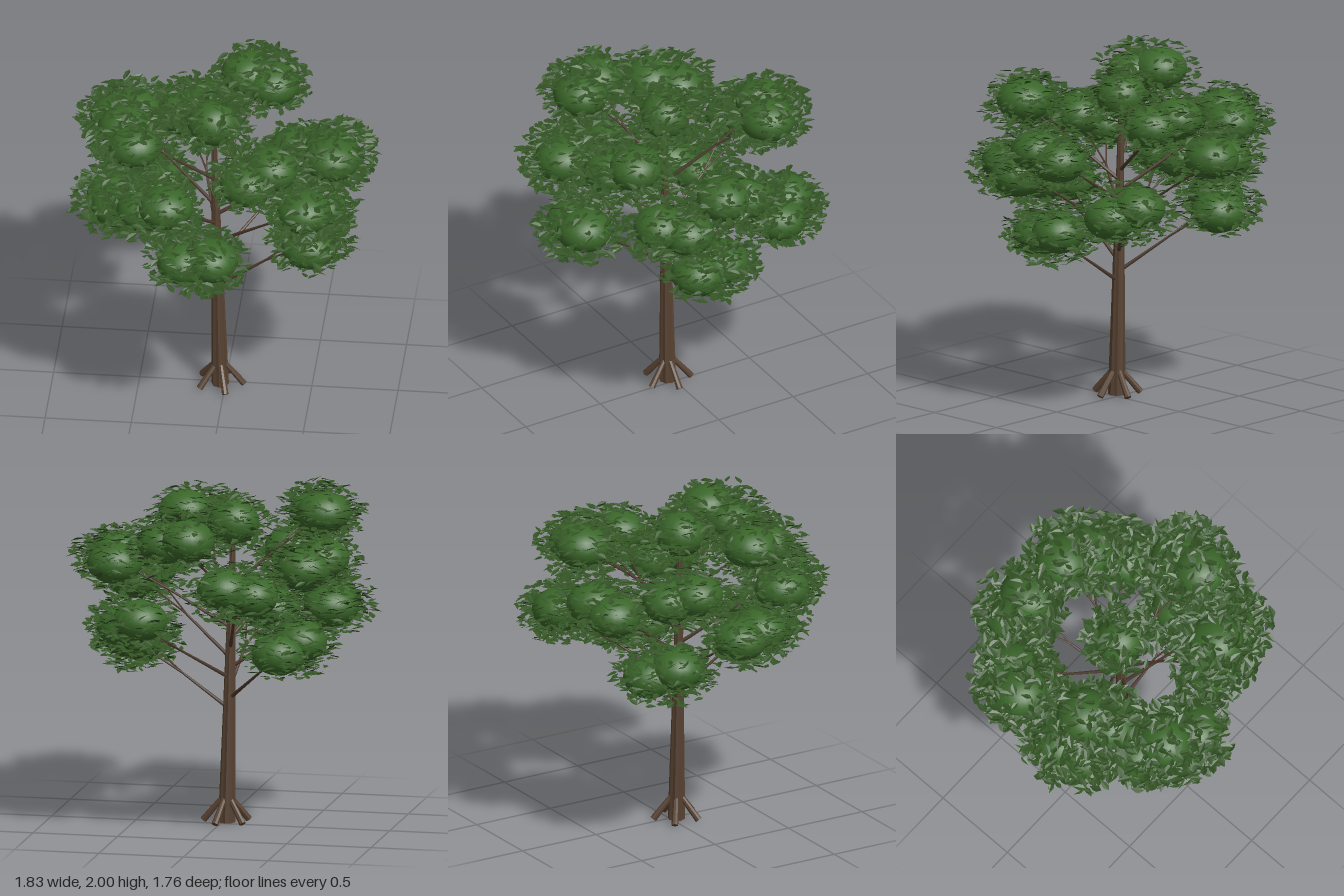
import * as THREE from 'three';
import { mergeGeometries } from 'three/addons/utils/BufferGeometryUtils.js';

const V = (x, y, z) => new THREE.Vector3(x, y, z);
const bark = new THREE.MeshStandardMaterial({ color: 0x574232, flatShading: true });
const twigBark = new THREE.MeshStandardMaterial({ color: 0x4b382c });
const moss = new THREE.MeshStandardMaterial({ color: 0x3a6629 });
const leafGreen = new THREE.MeshStandardMaterial({ color: 0x335424, flatShading: true, side: THREE.DoubleSide });

// Seeded random numbers
let seed = 7;
function rand(a = 0, b = 1) {
  seed = (seed * 16807) % 2147483647;
  return a + (b - a) * seed / 2147483647;
}

function mesh(name, geometry, material) {
  const m = new THREE.Mesh(geometry, material);
  m.name = name;
  return m;
}

// Tapered round limb from a to b
function limb(a, b, ra, rb, sides = 7) {
  const d = b.clone().sub(a);
  const g = new THREE.CylinderGeometry(rb, ra, d.length(), sides);
  g.applyQuaternion(new THREE.Quaternion().setFromUnitVectors(V(0, 1, 0), d.normalize()));
  const c = a.clone().add(b).multiplyScalar(0.5);
  return g.translate(c.x, c.y, c.z);
}

// The trunk leans slightly towards -x
const trunkAt = y => V(-0.03 - 0.021 * y, y, 0.03);

function createTrunk() {
  const g = new THREE.CylinderGeometry(0.013, 0.048, 1.73, 16, 10);
  g.translate(0, 0.875, 0);
  const p = g.attributes.position;
  for (let i = 0; i < p.count; i++) {
    const y = p.getY(i), c = trunkAt(y);
    const flute = 1 + 0.07 * Math.cos(8 * Math.atan2(p.getZ(i), p.getX(i)));
    p.setXYZ(i, c.x + p.getX(i) * flute, y, c.z + p.getZ(i) * flute);
  }
  g.computeVertexNormals();
  return mesh('trunk', g, bark);
}

function createRoots() {
  const roots = new THREE.Group();
  roots.name = 'roots';
  for (let i = 0; i < 5; i++) {
    const a = i * Math.PI * 2 / 5, c = Math.cos(a), s = Math.sin(a);
    const g = limb(V(-0.03 + 0.03 * c, 0.15, 0.03 + 0.03 * s),
      V(-0.03 + 0.138 * c, 0.018, 0.03 + 0.138 * s), 0.015, 0.02, 8);
    roots.add(mesh('root', g, bark));
  }
  return roots;
}

// One pointed leaf, slightly folded along its midrib
function leafGeometry() {
  const g = new THREE.BufferGeometry();
  g.setAttribute('position', new THREE.Float32BufferAttribute([
    -0.5, 0, 0, -0.2, 0.05, 0.25, 0.1, 0.04, 0.23, 0.6, -0.04, 0, 0.1, 0.04, -0.23, -0.2, 0.05, -0.25], 3));
  g.setIndex([0, 1, 2, 0, 2, 3, 0, 3, 4, 0, 4, 5]);
  return g;
}

// Mostly level leaves scattered through an ellipsoid shell; local x is radial, z tangential
function createLeaves(count, rx, ry, rz) {
  const leaf = leafGeometry(), parts = [], m = new THREE.Matrix4();
  for (let i = 0; i < count; i++) {
    const h = rand(-1, 1), a = rand(0, Math.PI * 2), w = Math.sqrt(1 - h * h);
    const r = Math.sqrt(rand(0.3, 1)), size = rand(0.05, 0.08);
    const turn = new THREE.Euler(rand(-0.4, 0.4), rand(0, Math.PI * 2), rand(-0.4, 0.4), 'YXZ');
    m.compose(V(rx * r * w * Math.cos(a), ry * r * h, rz * r * w * Math.sin(a)),
      new THREE.Quaternion().setFromEuler(turn), V(size, size, size));
    parts.push(leaf.clone().applyMatrix4(m));
  }
  const g = mergeGeometries(parts);
  g.computeVertexNormals();
  return mesh('leaves', g, leafGreen);
}

// Rounded leafy lobes inside a cloud of leaves
function createClump(center, angle, lobes, leafSize, count) {
  const clump = new THREE.Group();
  clump.name = 'foliageClump';
  for (const [offset, lift, size] of lobes) {
    const lobe = mesh('foliageLobe', new THREE.SphereGeometry(1, 24, 16), moss);
    lobe.scale.set(...size);
    lobe.position.set(0, lift, offset);
    clump.add(lobe);
  }
  clump.add(createLeaves(count, ...leafSize));
  clump.position.copy(center);
  clump.rotation.y = -angle;
  return clump;
}

export function createModel() {
  const tree = new THREE.Group();
  tree.name = 'tree';
  tree.add(createTrunk(), createRoots());

  // Clump centres spiralling up the trunk, each with the tilt of its lobes
  const centers = [
    [0.5, 1.06, 0.06, 0.02], [-0.48, 1.13, -0.34, 0.03], [-0.11, 1.18, 0.58, 0.015], [0.42, 1.26, -0.47, 0.03],
    [-0.62, 1.31, 0.16, 0.01], [0.53, 1.41, 0.32, -0.025], [-0.23, 1.49, -0.59, -0.02], [-0.36, 1.5, 0.54, 0.035],
    [0.61, 1.56, -0.04, -0.02], [-0.61, 1.62, -0.29, 0.02], [0.24, 1.72, 0.49, 0.03], [0.15, 1.76, -0.52, 0.015],
    [-0.53, 1.81, 0.27, -0.015]];
  centers.forEach(([x, y, z, tilt], i) => {
    const center = V(x, y, z), start = trunkAt(0.68 + 0.06 * i);
    const angle = Math.atan2(z - start.z, x - start.x);
    const fork = start.clone().lerp(center, 0.5);
    const side = V(-Math.sin(angle), 0, Math.cos(angle));

    // Branch that forks to the two lobes
    const branch = new THREE.Group();
    branch.name = 'branch';
    branch.add(mesh('limb', limb(start, fork, 0.012, 0.007), twigBark));
    for (const s of [-1, 1]) {
      const tip = center.clone().addScaledVector(side, 0.08 * s);
      branch.add(mesh('twig', limb(fork, tip, 0.006, 0.003, 6), twigBark));
    }
    tree.add(branch);

    const lobes = [[-0.08, tilt, [0.16, 0.12, 0.155]], [0.08, -tilt, [0.16, 0.12, 0.155]]];
    tree.add(createClump(center, angle, lobes, [0.27, 0.195, 0.315], 500));
  });

  // Crown on the trunk tip
  tree.add(createClump(V(-0.07, 1.77, 0.03), 0, [[0, 0.01, [0.15, 0.13, 0.14]]], [0.225, 0.19, 0.22], 350));
  return tree;
}
